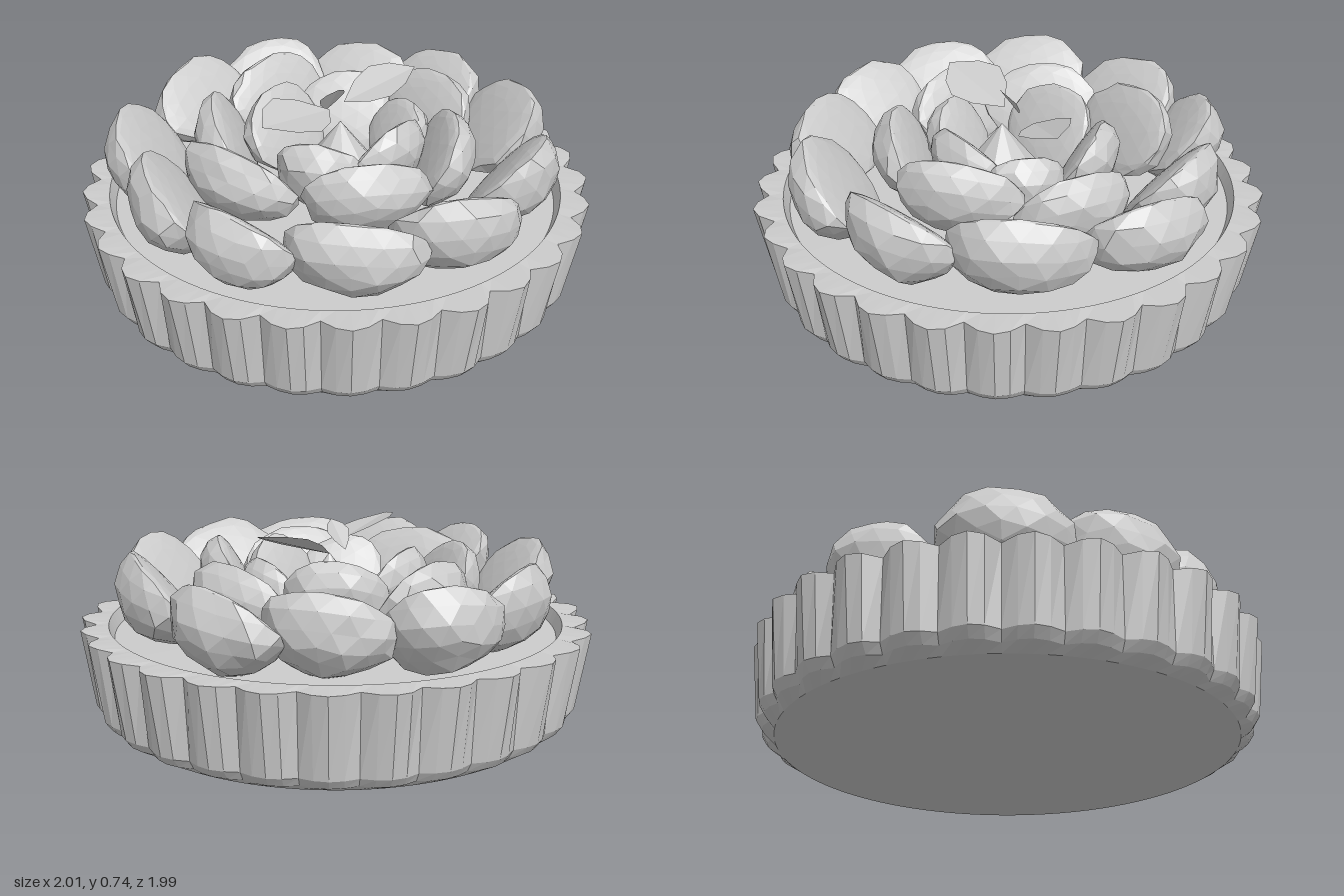
import * as THREE from 'three';

const grey = new THREE.MeshStandardMaterial({ color: 0xcccccc, flatShading: true, side: THREE.DoubleSide });
const V = (x, y, z) => new THREE.Vector3(x, y, z);

function part(name, geometry) {
  const mesh = new THREE.Mesh(geometry, grey);
  mesh.name = name;
  return mesh;
}

// Small repeatable variation that depends only on position
function wobble(x, y, z, seed) {
  const s = Math.sin(x * 12.99 + y * 78.23 + z * 37.72 + seed * 4.17) * 437.58;
  return s - Math.floor(s) - 0.5;
}

// Fluted pastry case: rings of [radius, height, flute depth]
function crustGeometry() {
  const flutes = 30, wave = [0, 0.7, 1, 0.7], n = flutes * wave.length;
  const rings = [
    [0.0, 0.0, 0], [0.88, 0.0, 0], [0.905, 0.025, 0.025], [0.925, 0.06, 0.03],
    [0.94, 0.355, 0.058], [0.89, 0.36, 0], [0.87, 0.31, 0], [0.0, 0.33, 0],
  ];
  const pos = [], index = [];
  rings.forEach(([r, y, depth]) => {
    for (let i = 0; i < n; i++) {
      const a = (i / n) * Math.PI * 2;
      const flute = Math.floor(i / wave.length), crest = wave[i % wave.length];
      const rad = r + depth * (crest + 0.2 * wobble(flute, 1, 2, 3));
      pos.push(Math.sin(a) * rad, y + depth * 0.12 * crest, Math.cos(a) * rad);
    }
  });
  for (let k = 0; k < rings.length - 1; k++) {
    for (let i = 0; i < n; i++) {
      const j = (i + 1) % n, a = k * n + i, b = k * n + j;
      index.push(a, b, b + n, a, b + n, a + n);
    }
  }
  const g = new THREE.BufferGeometry();
  g.setAttribute('position', new THREE.Float32BufferAttribute(pos, 3));
  g.setIndex(index);
  g.computeVertexNormals();
  return g;
}

// Halved fruit: rounded outside (+z), nearly flat cut face (-z), one end narrower
function sliceGeometry(length, height, depth, seed) {
  const g = new THREE.IcosahedronGeometry(1, 2), p = g.attributes.position;
  const q = (v) => Math.round(v * 100) / 100;
  for (let i = 0; i < p.count; i++) {
    const x = p.getX(i), y = p.getY(i), z = p.getZ(i);
    const k = 1 + 0.09 * wobble(q(x), q(y), q(z), seed);
    const taper = 1 - 0.14 * x;
    p.setXYZ(i, x * length * k, y * height * taper * k, z * (z > 0 ? depth * k : 0.03));
  }
  g.computeVertexNormals();
  return g;
}

// Places a slice leaning outward; azimuth is the way its round side faces
function fruitSlice(name, [x, z, azimuth, length, height], y, leanDeg, depth, seed) {
  const mesh = part(name, sliceGeometry(length, height, depth, seed));
  const a = THREE.MathUtils.degToRad(azimuth), lean = THREE.MathUtils.degToRad(leanDeg);
  const out = V(Math.sin(a), 0, Math.cos(a)), up = V(0, 1, 0);
  const u = up.clone().multiplyScalar(Math.cos(lean)).addScaledVector(out, Math.sin(lean));
  const n = out.clone().multiplyScalar(Math.cos(lean)).addScaledVector(up, -Math.sin(lean));
  const t = u.clone().cross(n);
  mesh.quaternion.setFromRotationMatrix(new THREE.Matrix4().makeBasis(t, u, n));
  mesh.position.set(x, y, z).addScaledVector(out, -0.03);
  return mesh;
}

// Pointed leaf from base to tip, folded along its midrib and rolled to one side
function leafGeometry(base, tip, halfWidth, roll) {
  const g = new THREE.PlaneGeometry(2, 1, 2, 4), p = g.attributes.position;
  const along = tip.clone().sub(base);
  const side = V(0, 1, 0).cross(along).normalize();
  for (let i = 0; i < p.count; i++) {
    const s = p.getY(i) + 0.5, w = p.getX(i);
    const bow = Math.sin(Math.PI * s);
    const v = base.clone().addScaledVector(along, s).addScaledVector(side, w * halfWidth * bow);
    v.y += bow * (0.015 * Math.abs(w) + roll * w);
    p.setXYZ(i, v.x, v.y, v.z);
  }
  g.computeVertexNormals();
  return g;
}

export function createModel() {
  const model = new THREE.Group();
  model.name = 'fruitTart';
  model.add(part('crust', crustGeometry()));

  // Each slice: x, z, azimuth, half length, half height
  const rings = [
    { name: 'outerSlice', y: 0.49, lean: 40, depth: 0.18, slices: [
      [-0.11, -0.70, -174, 0.25, 0.19], [0.28, -0.67, 143, 0.22, 0.19],
      [0.55, -0.39, 112, 0.24, 0.18], [0.73, -0.09, 82, 0.24, 0.18],
      [0.61, 0.35, 53, 0.26, 0.20], [0.31, 0.64, 16, 0.24, 0.20],
      [-0.11, 0.70, -30, 0.24, 0.20], [-0.46, 0.55, -52, 0.25, 0.18],
      [-0.69, 0.24, -85, 0.22, 0.18], [-0.71, -0.11, -122, 0.24, 0.19],
      [-0.56, -0.49, -137, 0.25, 0.19]] },
    { name: 'middleSlice', y: 0.495, lean: 28, depth: 0.15, slices: [
      [0.13, -0.50, 178, 0.24, 0.18], [-0.27, -0.34, -131, 0.24, 0.18],
      [-0.46, -0.05, -80, 0.26, 0.17], [-0.19, 0.36, -33, 0.24, 0.17],
      [0.22, 0.36, 44, 0.24, 0.18], [0.51, 0.05, 85, 0.23, 0.17]] },
    { name: 'innerSlice', y: 0.49, lean: 30, depth: 0.14, slices: [
      [-0.06, -0.25, -170, 0.21, 0.18], [0.25, -0.20, 129, 0.20, 0.18],
      [0.07, 0.22, 8, 0.21, 0.18], [-0.20, 0.12, -55, 0.17, 0.16],
      [0.27, 0.10, 70, 0.16, 0.15]] },
  ];
  rings.forEach((ring, r) => {
    const group = new THREE.Group();
    group.name = ring.name + 's';
    ring.slices.forEach((s, i) => group.add(
      fruitSlice(ring.name, s, ring.y + 0.015 * wobble(i, r, 1, 2), ring.lean, ring.depth, i + r * 20)));
    model.add(group);
  });

  // Heart of the topping
  const centre = part('centre', new THREE.ConeGeometry(0.22, 0.28, 9));
  centre.position.set(0, 0.46, 0.03);
  model.add(centre);

  // Garnish leaves: base, tip, half width, roll
  const leaves = [
    [V(-0.03, 0.65, 0.0), V(-0.40, 0.715, 0.03), 0.12, -0.03],
    [V(0.10, 0.62, -0.05), V(0.40, 0.715, 0.06), 0.10, 0.025],
    [V(0.0, 0.62, -0.05), V(-0.01, 0.735, 0.03), 0.06, 0.0],
  ];
  leaves.forEach((l) => model.add(part('leaf', leafGeometry(...l))));
  return model;
}
